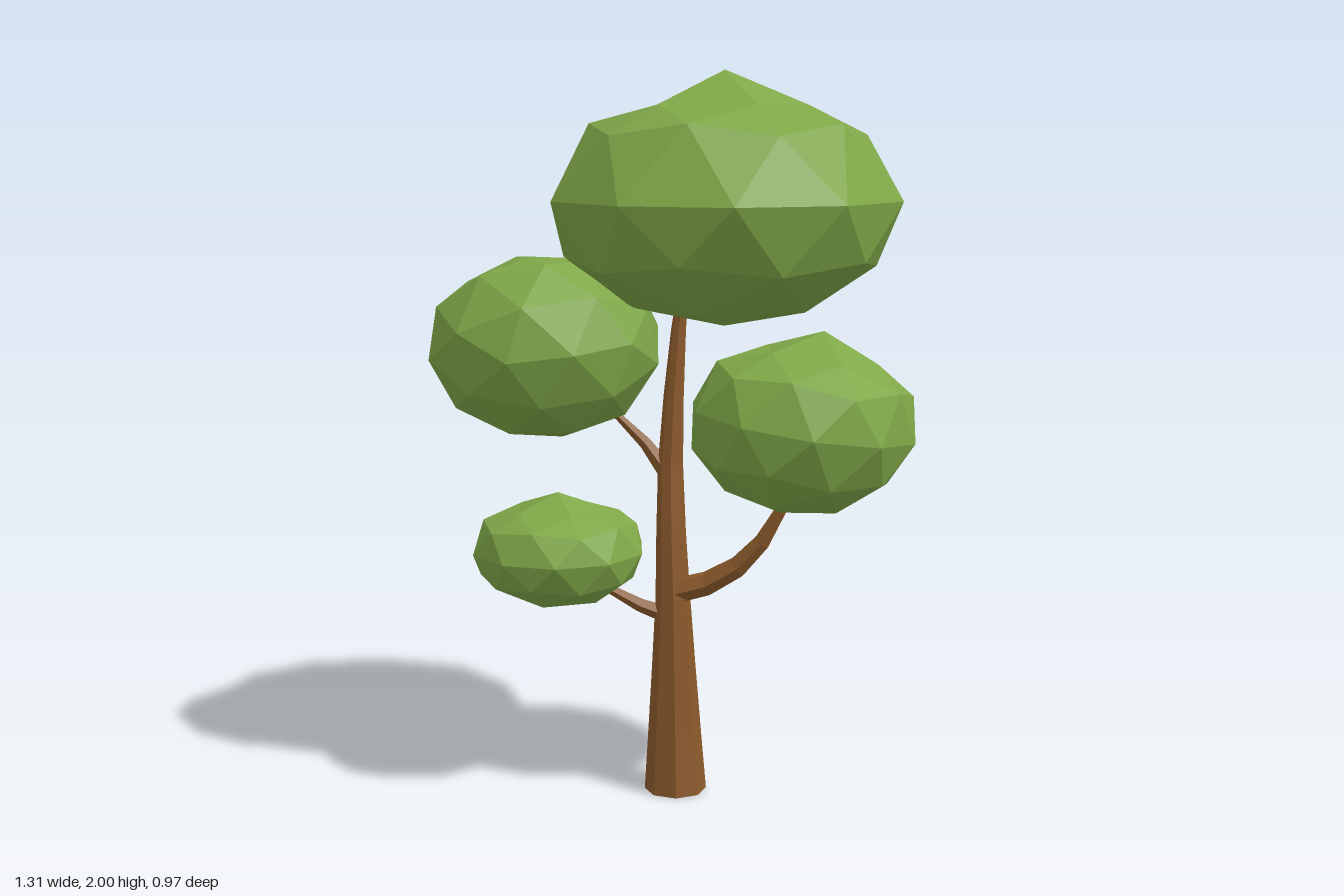
import * as THREE from 'three';

const leafGreen = new THREE.MeshStandardMaterial({ color: 0x7fa848 });
const barkBrown = new THREE.MeshStandardMaterial({ color: 0x8b5a2b });

// Faceted foliage clump: pole-up icosphere with a flattened cap, tilted, then stretched
function foliage(name, center, radii, tilt, shoulder = 1) {
  const geo = new THREE.IcosahedronGeometry(1, 1);
  geo.rotateZ(Math.atan2(1, (1 + Math.sqrt(5)) / 2));
  geo.rotateY(Math.PI);
  const pos = geo.attributes.position;
  for (let i = 0; i < pos.count; i++) {
    let x = pos.getX(i), y = pos.getY(i), z = pos.getZ(i);
    if (y > 0.4 && y < 0.95) {
      x *= shoulder;
      z *= shoulder;
      y = y > 0.8 ? 0.73 : y * (2 - shoulder);
    }
    pos.setXYZ(i, x, y, z);
  }
  geo.rotateX(tilt[0]);
  geo.rotateZ(tilt[1]);
  geo.scale(...radii);
  geo.computeVertexNormals();
  const mesh = new THREE.Mesh(geo, leafGreen);
  mesh.name = name;
  mesh.position.set(...center);
  return mesh;
}

// Faceted limb: tube along a curve, its radius tapering through the given values
function limb(name, points, radii, sides, segments) {
  const curve = new THREE.CatmullRomCurve3(points.map(p => new THREE.Vector3(...p)));
  const tube = new THREE.TubeGeometry(curve, segments, 1, sides);
  const pos = tube.attributes.position;
  const v = new THREE.Vector3();
  for (let i = 0; i <= segments; i++) {
    const u = i / segments;
    const c = curve.getPointAt(u);
    const t = u * (radii.length - 1);
    const k = Math.min(Math.floor(t), radii.length - 2);
    const r = THREE.MathUtils.lerp(radii[k], radii[k + 1], t - k);
    for (let j = 0; j <= sides; j++) {
      const n = i * (sides + 1) + j;
      v.fromBufferAttribute(pos, n).sub(c).multiplyScalar(r).add(c);
      pos.setXYZ(n, v.x, Math.max(v.y, 0), v.z);
    }
  }
  const geo = tube.toNonIndexed();
  geo.computeVertexNormals();
  const mesh = new THREE.Mesh(geo, barkBrown);
  mesh.name = name;
  return mesh;
}

export function createModel() {
  const tree = new THREE.Group();
  tree.name = 'tree';

  // Trunk and its closed underside
  tree.add(limb('trunk',
    [[0.02, 0, -0.033], [0.016, 0.3, -0.03], [0.012, 0.6, -0.022], [0.006, 0.92, -0.04], [0.03, 1.33, -0.04], [0.05, 1.5, -0.03]],
    [0.087, 0.065, 0.046, 0.036, 0.025, 0.012], 8, 8));
  const base = new THREE.Mesh(new THREE.CircleGeometry(0.084, 8), barkBrown);
  base.name = 'trunkBase';
  base.rotation.x = Math.PI / 2;
  base.position.set(0.02, 0.001, -0.033);
  tree.add(base);

  // Branches
  tree.add(limb('leftBranch',
    [[0.01, 0.58, -0.015], [0.12, 0.615, 0.01], [0.22, 0.69, 0.04], [0.29, 0.80, 0.065], [0.34, 0.92, 0.07]],
    [0.036, 0.034, 0.028, 0.02, 0.012], 6, 5));
  tree.add(limb('upperRightBranch',
    [[0, 0.91, -0.04], [-0.07, 1.0, -0.07], [-0.16, 1.08, -0.1], [-0.22, 1.12, -0.11]],
    [0.026, 0.018, 0.011, 0.006], 5, 3));
  tree.add(limb('lowerRightBranch',
    [[0, 0.51, -0.03], [-0.08, 0.54, -0.03], [-0.16, 0.583, -0.035], [-0.23, 0.62, -0.035]],
    [0.026, 0.02, 0.014, 0.008], 5, 3));

  // Foliage clumps
  tree.add(foliage('crownFoliage', [0.15, 1.665, 0], [0.483, 0.34, 0.483], [0, 0], 0.88));
  tree.add(foliage('leftFoliage', [0.36, 1.07, 0.07], [0.312, 0.252, 0.31], [0, -0.18]));
  tree.add(foliage('upperRightFoliage', [-0.34, 1.265, -0.13], [0.33, 0.27, 0.335], [-0.5, 0.3]));
  tree.add(foliage('lowerRightFoliage', [-0.305, 0.70, -0.035], [0.243, 0.16, 0.245], [0, 0]));
  return tree;
}
